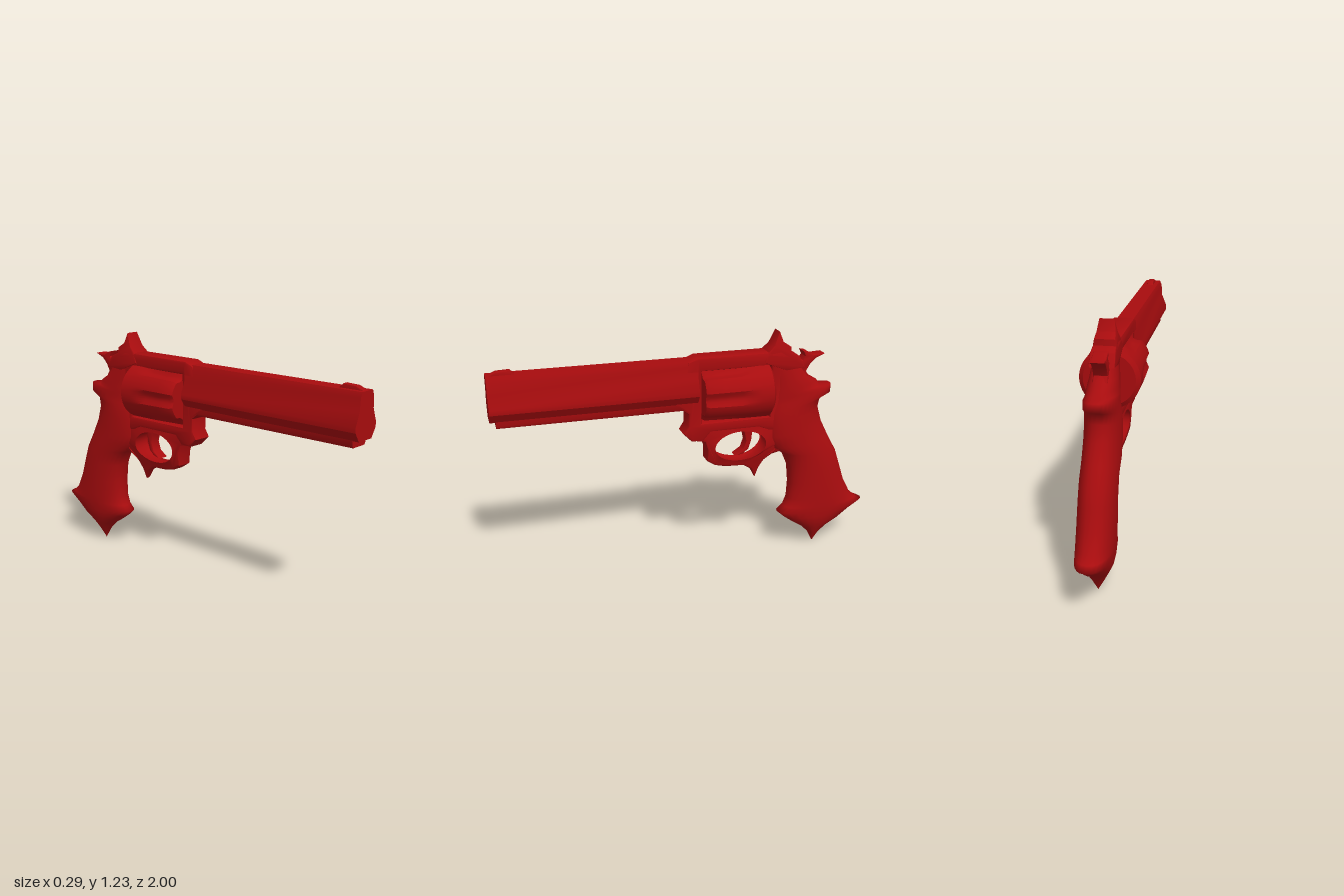
import * as THREE from 'three';
import { toCreasedNormals } from 'three/addons/utils/BufferGeometryUtils.js';

const material = new THREE.MeshStandardMaterial({ color: 0xa80c0e, side: THREE.DoubleSide });

function addMesh(group, name, geometry) {
  const mesh = new THREE.Mesh(geometry, material);
  mesh.name = name;
  group.add(mesh);
}

const toPoints = list => list.map(([a, b]) => new THREE.Vector2(a, b));

// Side profile of [z, y] points, given thickness along x; taper(y) scales the thickness
function sidePlate(points, halfWidth, { holes = [], bevel = 0.012, taper } = {}) {
  const shape = new THREE.Shape(toPoints(points));
  shape.holes.push(...holes);
  const geo = new THREE.ExtrudeGeometry(shape, {
    depth: 2 * (halfWidth - bevel), bevelEnabled: bevel > 0, bevelThickness: bevel,
    bevelSize: bevel, bevelOffset: -bevel, bevelSegments: 2, curveSegments: 20,
  });
  geo.translate(0, 0, bevel - halfWidth);
  geo.rotateY(-Math.PI / 2);
  if (taper) {
    const p = geo.attributes.position;
    for (let i = 0; i < p.count; i++) p.setX(i, p.getX(i) * taper(p.getY(i)));
  }
  return toCreasedNormals(geo, 0.7);
}

// Half cross-section of [x, y] points, mirrored and run along z
function prism(half, z0, z1) {
  const mirrored = half.map(([x, y]) => [-x, y]).reverse();
  const shape = new THREE.Shape(toPoints([...half, ...mirrored]));
  const geo = new THREE.ExtrudeGeometry(shape, { depth: z1 - z0, bevelEnabled: false });
  geo.translate(0, 0, z0);
  return toCreasedNormals(geo, 0.5);
}

// Rounded loft through slanted sections: [front z, front y, back z, back y, half width]
function loft(sections, sides = 28) {
  const pos = [], index = [];
  sections.forEach(([fz, fy, bz, by, w], r) => {
    for (let i = 0; i < sides; i++) {
      const a = (i / sides) * Math.PI * 2, c = Math.cos(a), s = Math.sin(a);
      const t = (1 + c) / 2;
      pos.push(w * Math.sign(s) * Math.abs(s) ** 0.85, by + (fy - by) * t, bz + (fz - bz) * t);
      if (r === sections.length - 1) continue;
      const A = r * sides + i, B = r * sides + (i + 1) % sides;
      index.push(A, A + sides, B, B, A + sides, B + sides);
    }
  });
  const geo = new THREE.BufferGeometry();
  geo.setAttribute('position', new THREE.Float32BufferAttribute(pos, 3));
  geo.setIndex(index);
  geo.computeVertexNormals();
  return geo;
}

// Cylinder with six scalloped flutes that fade out toward the back
function flutedCylinder() {
  const profile = [[0, -0.42], [0.125, -0.42], [0.146, -0.405], [0.146, -0.34], [0.146, -0.29],
    [0.145, -0.24], [0.142, -0.15], [0.139, -0.07], [0.128, -0.052], [0, -0.052]];
  const geo = new THREE.LatheGeometry(toPoints(profile), 72);
  geo.rotateX(Math.PI / 2);
  const p = geo.attributes.position;
  for (let i = 0; i < p.count; i++) {
    const x = p.getX(i), y = p.getY(i);
    const fade = THREE.MathUtils.smoothstep(p.getZ(i), -0.33, -0.24);
    const ridge = Math.max(0, Math.cos(6 * Math.atan2(y, x)));
    const k = 1 - 0.13 * fade * ridge;
    p.setXY(i, x * k, y * k + 0.93);
  }
  return toCreasedNormals(geo, 0.6);
}

export function createModel() {
  const model = new THREE.Group();
  model.name = 'revolver';

  // Barrel, underlug and front sight
  addMesh(model, 'barrel', prism([[0.042, 1.115], [0.052, 1.09], [0.056, 1.03], [0.082, 0.965],
    [0.08, 0.94], [0.05, 0.895]].reverse(), -0.03, 1));
  addMesh(model, 'underlug', prism([[0.045, 0.862], [0.052, 0.875], [0.052, 0.93]], 0, 0.97));
  addMesh(model, 'frontSight', sidePlate([[0.99, 1.1], [0.99, 1.115], [0.95, 1.132], [0.885, 1.135],
    [0.86, 1.112], [0.86, 1.1]], 0.018, { bevel: 0.004 }));

  // Frame around the cylinder window
  const window = new THREE.Path(toPoints([[-0.05, 0.785], [-0.05, 1.06], [-0.42, 1.06], [-0.42, 0.785]]));
  addMesh(model, 'frame', sidePlate([[0.02, 1.11], [-0.03, 1.13], [-0.47, 1.13], [-0.54, 1.1],
    [-0.56, 0.9], [-0.52, 0.71], [-0.42, 0.71], [-0.36, 0.735], [-0.1, 0.735], [-0.06, 0.69],
    [0, 0.69], [0.045, 0.735], [0.02, 0.775], [0.02, 0.84], [0.06, 0.87], [0.1, 0.9]],
  0.054, { holes: [window] }));
  addMesh(model, 'cylinder', flutedCylinder());

  // Spiked rear sight, narrower toward its tip
  addMesh(model, 'rearSight', sidePlate([[-0.38, 1.08], [-0.4, 1.128], [-0.435, 1.16], [-0.465, 1.23],
    [-0.485, 1.175], [-0.525, 1.15], [-0.525, 1.12], [-0.57, 1.1], [-0.6, 1.04], [-0.5, 1.03]],
  0.06, { bevel: 0.004, taper: y => THREE.MathUtils.mapLinear(Math.max(y, 1.08), 1.08, 1.23, 1, 0.58) }));

  // Hammer with a curled spur
  addMesh(model, 'hammer', sidePlate([[-0.54, 0.98], [-0.55, 1.06], [-0.6, 1.07], [-0.612, 1.09],
    [-0.6, 1.118], [-0.625, 1.113], [-0.655, 1.095], [-0.72, 1.097], [-0.67, 1.075], [-0.64, 1.045],
    [-0.62, 1.01], [-0.65, 0.96]], 0.034, { bevel: 0.006 }));

  // Trigger guard with a spike beneath
  const opening = new THREE.Path();
  opening.absellipse(-0.265, 0.638, 0.15, 0.092, 0, Math.PI * 2, true);
  addMesh(model, 'triggerGuard', sidePlate([[-0.02, 0.77], [-0.02, 0.69], [-0.07, 0.68], [-0.085, 0.635],
    [-0.085, 0.57], [-0.13, 0.54], [-0.19, 0.525], [-0.29, 0.52], [-0.335, 0.49], [-0.36, 0.44],
    [-0.375, 0.495], [-0.4, 0.54], [-0.44, 0.57], [-0.5, 0.585], [-0.54, 0.66], [-0.5, 0.77]],
  0.05, { holes: [opening], bevel: 0.01,
    taper: y => THREE.MathUtils.mapLinear(Math.min(y, 0.6), 0.6, 0.44, 1, 0.25) }));

  // Curved trigger
  addMesh(model, 'trigger', sidePlate([[-0.27, 0.745], [-0.29, 0.7], [-0.3, 0.655], [-0.285, 0.61],
    [-0.24, 0.578], [-0.285, 0.585], [-0.315, 0.61], [-0.33, 0.655], [-0.335, 0.7], [-0.36, 0.745]],
  0.03, { bevel: 0.008 }));

  // Back of the frame and the grip, with pointed tang, heel, toe and butt
  addMesh(model, 'grip', loft([
    [-0.46, 1.13, -0.46, 1.13, 0], [-0.41, 1.11, -0.55, 1.1, 0.048], [-0.41, 1.05, -0.605, 1.03, 0.058],
    [-0.425, 0.98, -0.64, 0.985, 0.066], [-0.43, 0.93, -0.69, 0.955, 0.072],
    [-0.425, 0.9, -0.705, 0.928, 0.075], [-0.42, 0.87, -0.772, 0.93, 0.077],
    [-0.415, 0.84, -0.772, 0.887, 0.079], [-0.41, 0.8, -0.715, 0.865, 0.081],
    [-0.41, 0.74, -0.702, 0.81, 0.084], [-0.415, 0.66, -0.725, 0.73, 0.086],
    [-0.44, 0.6, -0.77, 0.64, 0.087], [-0.515, 0.56, -0.82, 0.55, 0.087],
    [-0.55, 0.48, -0.85, 0.46, 0.088], [-0.56, 0.38, -0.88, 0.37, 0.089],
    [-0.555, 0.29, -0.925, 0.285, 0.089], [-0.535, 0.24, -0.96, 0.255, 0.088],
    [-0.5, 0.21, -1, 0.237, 0.086], [-0.54, 0.175, -0.93, 0.195, 0.083],
    [-0.59, 0.14, -0.87, 0.15, 0.075], [-0.645, 0.105, -0.795, 0.105, 0.057],
    [-0.69, 0.06, -0.75, 0.06, 0.034], [-0.72, 0, -0.72, 0, 0],
  ]));

  return model;
}
